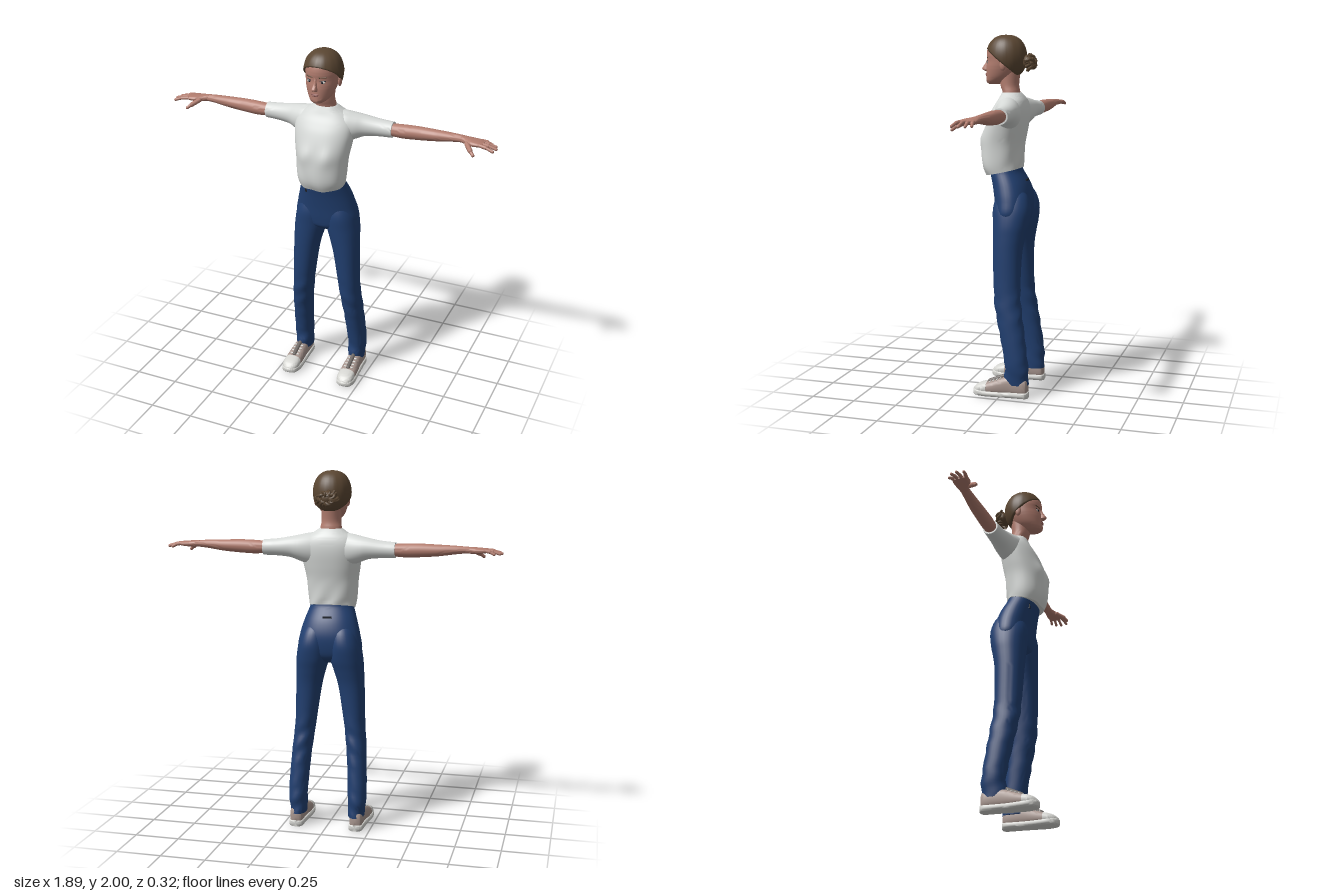
import * as THREE from 'three';
import { toCreasedNormals, mergeGeometries } from 'three/addons/utils/BufferGeometryUtils.js';

const paint = (name, color, side = THREE.FrontSide) => {
  const m = new THREE.MeshStandardMaterial({ color, side });
  m.name = name;
  return m;
};
const V = (x, y, z) => new THREE.Vector3(x, y, z);

// Smooth 1D interpolation through four neighbouring values
const spline = (a, b, c, d, t) =>
  b + 0.5 * t * (c - a + t * (2 * a - 5 * b + 4 * c - d + t * (3 * (b - c) + d - a)));

// Skin over cross-sections [t, uMin, uMax, vMin, vMax]; (u, v, t) is
// (z, x, y) along y, (y, z, x) along x and (x, y, z) along z
function loft(rows, axis, { n = 28, e = 2, steps = 5, warp } = {}) {
  const place = { x: (u, v, t) => V(t, u, v), y: (u, v, t) => V(v, t, u), z: (u, v, t) => V(u, v, t) }[axis];
  const at = (i) => rows[Math.max(0, Math.min(rows.length - 1, i))];
  const pos = [], idx = [], rings = [];
  for (let i = 0; i < rows.length - 1; i++)
    for (let s = 0; s < steps; s++)
      rings.push(at(i).map((_, k) => spline(at(i - 1)[k], at(i)[k], at(i + 1)[k], at(i + 2)[k], s / steps)));
  rings.push(at(rows.length - 1));
  const push = (p) => { if (warp) warp(p); pos.push(p.x, p.y, p.z); };
  const bend = (c) => Math.sign(c) * Math.abs(c) ** (2 / e);
  rings.forEach(([t, u0, u1, v0, v1], i) => {
    for (let j = 0; j < n; j++) {
      const a = (j / n) * Math.PI * 2;
      push(place((u0 + u1) / 2 + (u1 - u0) / 2 * bend(Math.cos(a)), (v0 + v1) / 2 + (v1 - v0) / 2 * bend(Math.sin(a)), t));
      if (i < rings.length - 1) {
        const k = (j + 1) % n, p = i * n, q = p + n;
        idx.push(p + j, p + k, q + k, p + j, q + k, q + j);
      }
    }
  });
  const last = (rings.length - 1) * n, c = rings.length * n;
  for (const [t, u0, u1, v0, v1] of [rings[0], rings[rings.length - 1]]) push(place((u0 + u1) / 2, (v0 + v1) / 2, t));
  for (let j = 0; j < n; j++) {
    const k = (j + 1) % n;
    idx.push(c, k, j, c + 1, last + j, last + k);
  }
  const g = new THREE.BufferGeometry();
  g.setAttribute('position', new THREE.Float32BufferAttribute(pos, 3));
  g.setIndex(idx);
  return toCreasedNormals(g, 1.1);
}

// Rounded rod between two points
function rod(a, b, r) {
  const d = b.clone().sub(a);
  const g = new THREE.CapsuleGeometry(r, d.length(), 4, 10);
  g.applyQuaternion(new THREE.Quaternion().setFromUnitVectors(V(0, 1, 0), d.normalize()));
  const m = a.clone().add(b).multiplyScalar(0.5);
  return g.translate(m.x, m.y, m.z);
}

const blob = (x, y, z, rx, ry, rz) => new THREE.SphereGeometry(1, 16, 10).scale(rx, ry, rz).translate(x, y, z);

// Copy across x = 0 with the corner order restored
function mirrored(geo) {
  const g = geo.index ? geo.toNonIndexed() : geo.clone();
  for (const key of ['position', 'normal']) {
    const a = g.attributes[key];
    for (let i = 0; i < a.count; i += 3) {
      const p = [0, 2, 1].map((k) => [-a.getX(i + k), a.getY(i + k), a.getZ(i + k)]);
      p.forEach((q, k) => a.setXYZ(i + k, ...q));
    }
  }
  return g;
}

// Hair shell whose lower edge follows the hairline from brow to nape
function hairCap() {
  const n = 48, m = 18, pos = [], idx = [];
  for (let i = 0; i <= m + 1; i++)
    for (let j = 0; j < n; j++) {
      const a = (j / n) * Math.PI * 2, f = Math.cos(a);
      const limit = 1.82 - 0.78 * f + 0.1 * f * f - (f > 0 ? 0 : 0.14 * f * f);
      const th = limit * Math.min(i / m, 1), k = i > m ? 0.88 : 1 + 0.008 * Math.sin(a * 14 + th * 2);
      const r = Math.sin(th) ** 0.8 * k;
      pos.push(0.106 * r * Math.sin(a), 1.88 + 0.12 * Math.cos(th), 0.018 + 0.114 * r * f);
      if (i <= m) {
        const q = (j + 1) % n, p = i * n;
        idx.push(p + j, p + n + j, p + n + q, p + j, p + n + q, p + q);
      }
    }
  const g = new THREE.BufferGeometry();
  g.setAttribute('position', new THREE.Float32BufferAttribute(pos, 3));
  g.setIndex(idx);
  g.computeVertexNormals();
  return g;
}

export function createModel() {
  const shirt = paint('shirt white', 0xd6d9d7), denim = paint('denim blue', 0x213f70);
  const skin = paint('skin', 0xb27d6f), hair = paint('hair brown', 0x5a4632, THREE.DoubleSide);
  const rubber = paint('shoe white', 0xd4d4d0), canvas = paint('shoe canvas', 0xa8968f);
  const lace = paint('lace grey', 0x6f6966), dark = paint('dark detail', 0x1c2029);
  const lips = paint('lips', 0x96605a), white = paint('eye white', 0xc9c2bd);

  const model = new THREE.Group();
  const add = (name, geo, mat, both = false) => {
    for (const g of both ? [geo, mirrored(geo)] : [geo]) {
      const mesh = new THREE.Mesh(g, mat);
      mesh.name = both ? (g === geo ? 'left ' : 'right ') + name : name;
      model.add(mesh);
    }
  };

  // Shirt: body with bust, soft folds and a hem that dips in front
  add('shirt body', loft([
    [1.25, -0.07, 0.125, -0.128, 0.128], [1.3, -0.073, 0.15, -0.136, 0.136], [1.4, -0.08, 0.148, -0.144, 0.144],
    [1.48, -0.094, 0.132, -0.158, 0.158], [1.55, -0.104, 0.108, -0.168, 0.168], [1.6, -0.104, 0.083, -0.165, 0.165],
    [1.64, -0.095, 0.06, -0.135, 0.135], [1.668, -0.078, 0.047, -0.092, 0.092], [1.688, -0.06, 0.038, -0.064, 0.064],
  ], 'y', { n: 48, e: 2.3, warp: (p) => {
    const y = p.y;
    if (p.z > 0.02) p.z += 0.014 * Math.exp(-(((Math.abs(p.x) - 0.065) / 0.04) ** 2) - ((y - 1.43) / 0.05) ** 2);
    if (y < 1.42) p.z += 0.004 * Math.sin(p.x * 55 + y * 30) * (1.42 - y) / 0.17;
    if (y < 1.31) p.y -= (p.z - 0.03) * 0.22 * (1.31 - y) / 0.06;
  } }), shirt);
  add('sleeve', loft([
    [0.06, 1.48, 1.668, -0.085, 0.05], [0.12, 1.49, 1.662, -0.098, 0.05], [0.17, 1.508, 1.652, -0.104, 0.032],
    [0.22, 1.527, 1.642, -0.104, 0.01], [0.29, 1.535, 1.63, -0.103, -0.005], [0.37, 1.537, 1.623, -0.102, -0.014],
  ], 'x'), shirt, true);

  // Jeans: hips plus two legs with gentle creases
  add('jeans hips', loft([
    [0.945, -0.07, 0.01, -0.06, 0.06], [0.975, -0.11, 0.05, -0.13, 0.13], [1.02, -0.128, 0.062, -0.18, 0.18],
    [1.1, -0.134, 0.073, -0.17, 0.17], [1.18, -0.113, 0.087, -0.148, 0.148], [1.25, -0.074, 0.103, -0.124, 0.124],
    [1.275, -0.066, 0.1, -0.118, 0.118],
  ], 'y', { n: 40, e: 2.2 }), denim);
  add('jeans leg', loft([
    [0.075, -0.158, -0.025, 0.124, 0.212], [0.12, -0.158, -0.022, 0.122, 0.216], [0.2, -0.155, -0.025, 0.12, 0.224],
    [0.4, -0.127, 0.015, 0.107, 0.215], [0.5, -0.112, 0.036, 0.096, 0.208], [0.6, -0.102, 0.047, 0.083, 0.2],
    [0.8, -0.106, 0.056, 0.052, 0.195], [0.9, -0.122, 0.06, 0.026, 0.192], [0.97, -0.138, 0.063, 0.006, 0.188],
    [1.05, -0.146, 0.066, 0.004, 0.174], [1.12, -0.128, 0.05, 0.012, 0.15], [1.17, -0.09, 0.03, 0.03, 0.12],
  ], 'y', { n: 32, e: 2.2, warp: (p) => {
    if (p.y < 0.62) p.z += 0.003 * Math.sin(p.y * 62 + p.x * 40);
  } }), denim, true);
  add('front tab', new THREE.BoxGeometry(0.012, 0.03, 0.008).translate(-0.08, 1.205, 0.076), dark);
  add('back tab', new THREE.BoxGeometry(0.05, 0.01, 0.008).translate(0, 1.205, -0.102), dark);

  // Neck and head
  add('neck', loft([
    [1.65, -0.058, 0.034, -0.063, 0.063], [1.69, -0.058, 0.038, -0.06, 0.06], [1.73, -0.052, 0.052, -0.054, 0.054],
    [1.8, -0.06, 0.06, -0.056, 0.056],
  ], 'y'), skin);
  add('head', loft([
    [1.732, 0.06, 0.118, -0.024, 0.024], [1.745, 0.015, 0.132, -0.045, 0.045], [1.775, -0.03, 0.132, -0.067, 0.067],
    [1.82, -0.06, 0.131, -0.083, 0.083], [1.86, -0.07, 0.125, -0.089, 0.089], [1.9, -0.07, 0.128, -0.09, 0.09],
    [1.94, -0.065, 0.117, -0.08, 0.08], [1.97, -0.045, 0.08, -0.05, 0.05], [1.98, -0.01, 0.04, -0.02, 0.02],
  ], 'y', { n: 36 }), skin);
  add('nose', loft([
    [1.802, 0.115, 0.137, -0.01, 0.01], [1.808, 0.11, 0.154, -0.016, 0.016], [1.818, 0.11, 0.159, -0.014, 0.014],
    [1.845, 0.105, 0.141, -0.009, 0.009], [1.875, 0.1, 0.128, -0.007, 0.007],
  ], 'y', { n: 16 }), skin);
  add('ear', blob(0.09, 1.838, 0.012, 0.011, 0.03, 0.018), skin, true);
  add('mouth', mergeGeometries([blob(0, 1.786, 0.131, 0.023, 0.005, 0.005), blob(0, 1.779, 0.131, 0.019, 0.005, 0.005)]), lips);
  add('eye', blob(0.037, 1.852, 0.1155, 0.015, 0.007, 0.0045), white, true);
  add('iris', blob(0.036, 1.852, 0.118, 0.0065, 0.0065, 0.0045), dark, true);
  add('eyelid', rod(V(0.023, 1.859, 0.119), V(0.051, 1.859, 0.111), 0.0025), dark, true);
  add('eyebrow', rod(V(0.02, 1.876, 0.123), V(0.055, 1.878, 0.11), 0.003), hair, true);

  // Hair with a loose curly bun
  add('hair', hairCap(), hair);
  const curls = [blob(0, 1.855, -0.108, 0.045, 0.04, 0.034)];
  let seed = 7;
  const rnd = () => (seed = (seed * 16807) % 2147483647) / 2147483647;
  for (let i = 0; i < 18; i++) {
    const a = i * 2.4, turn = rnd() * 6, out = 0.6 + 0.4 * rnd();
    const points = [0, 1, 2, 3, 4].map((k) => V(
      Math.cos(a) * (0.018 + 0.011 * k * out) + 0.01 * Math.sin(turn + k * 1.6),
      1.853 + Math.sin(a) * (0.012 + 0.009 * k * out) + 0.007 * Math.cos(turn + k * 1.6),
      -0.105 - 0.038 * Math.sin((k + 0.5) * 0.7) * (0.6 + 0.4 * rnd())));
    curls.push(new THREE.TubeGeometry(new THREE.CatmullRomCurve3(points), 14, 0.0075, 6));
  }
  add('hair bun', mergeGeometries(curls), hair);

  // Bare arms and hands
  add('arm', loft([
    [0.33, 1.55, 1.612, -0.092, -0.024], [0.42, 1.543, 1.618, -0.095, -0.02], [0.5, 1.546, 1.62, -0.096, -0.024],
    [0.6, 1.554, 1.617, -0.095, -0.03], [0.7, 1.568, 1.613, -0.09, -0.036], [0.76, 1.574, 1.609, -0.087, -0.037],
  ], 'x', { n: 24 }), skin, true);
  add('palm', loft([
    [0.745, 1.574, 1.61, -0.087, -0.037], [0.78, 1.572, 1.607, -0.089, -0.022], [0.81, 1.572, 1.605, -0.092, -0.005],
    [0.845, 1.575, 1.602, -0.092, -0.002], [0.868, 1.58, 1.597, -0.085, -0.01],
  ], 'x', { n: 24, e: 2.4 }), skin, true);
  const fingers = [[-0.012, 0.928, 0.003], [-0.035, 0.937, -0.034], [-0.058, 0.928, -0.065], [-0.08, 0.9, -0.088]];
  const hand = fingers.flatMap(([z, tipX, tipZ]) => {
    const knuckle = V(0.852, 1.59, z), tip = V(tipX, 1.574, tipZ);
    const joint = knuckle.clone().lerp(tip, 0.5).add(V(0, 0.004, 0));
    return [rod(knuckle, joint, 0.0095), rod(joint, tip, 0.008)];
  });
  hand.push(rod(V(0.785, 1.585, -0.02), V(0.815, 1.566, 0.018), 0.013), rod(V(0.815, 1.566, 0.018), V(0.835, 1.55, 0.034), 0.009));
  add('fingers', mergeGeometries(hand), skin, true);

  // Shoes: rubber sole, canvas upper, white toe cap, laces
  add('shoe sole', loft([
    [-0.16, 0.15, 0.195, 0, 0.035], [-0.145, 0.134, 0.212, 0, 0.036], [-0.08, 0.13, 0.216, 0, 0.034],
    [0, 0.125, 0.222, 0, 0.032], [0.08, 0.121, 0.23, 0, 0.034], [0.13, 0.13, 0.224, 0.002, 0.038],
    [0.15, 0.148, 0.206, 0.006, 0.038], [0.157, 0.163, 0.19, 0.012, 0.034],
  ], 'z', { n: 32, e: 5 }), rubber, true);
  add('shoe upper', loft([
    [-0.156, 0.152, 0.194, 0.02, 0.09], [-0.14, 0.138, 0.208, 0.01, 0.112], [-0.06, 0.134, 0.212, 0.01, 0.12],
    [-0.02, 0.132, 0.216, 0.01, 0.112], [0.04, 0.128, 0.222, 0.01, 0.09], [0.1, 0.128, 0.224, 0.01, 0.07],
  ], 'z', { e: 2.6 }), canvas, true);
  add('shoe toe cap', loft([
    [0.075, 0.127, 0.224, 0.01, 0.08], [0.11, 0.128, 0.224, 0.01, 0.07], [0.135, 0.137, 0.217, 0.01, 0.058],
    [0.152, 0.156, 0.198, 0.015, 0.042],
  ], 'z', { e: 2.5 }), rubber, true);
  add('shoe tongue', rod(V(0.174, 0.116, -0.02), V(0.175, 0.082, 0.06), 0.012), lace, true);
  const laces = [0, 1, 2, 3].map((i) => rod(V(0.15, 0.106 - i * 0.008, -0.005 + i * 0.02), V(0.2, 0.106 - i * 0.008, -0.005 + i * 0.02), 0.0045));
  add('shoe laces', mergeGeometries(laces), rubber, true);

  return model;
}
